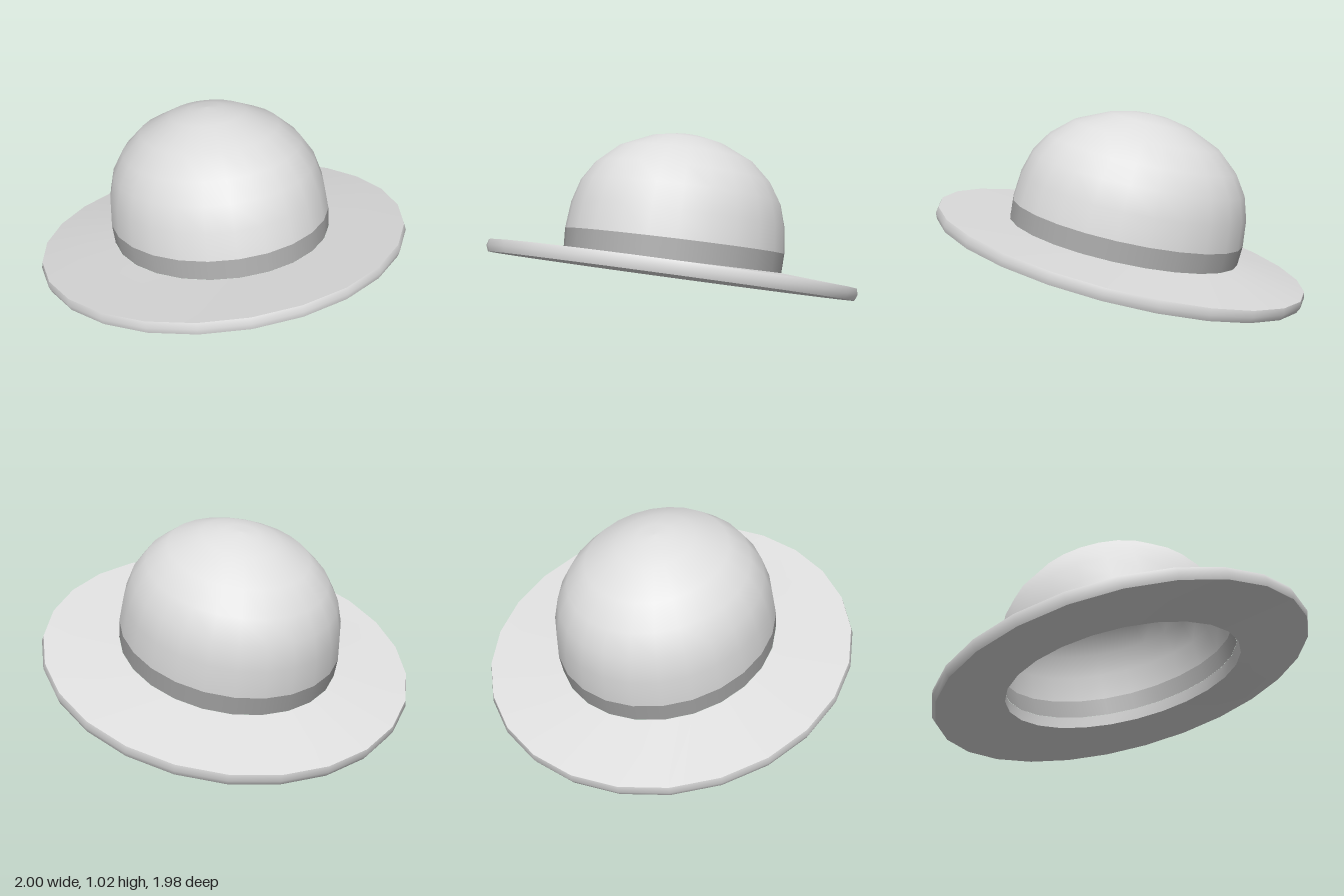
import * as THREE from 'three';
import { mergeGeometries } from 'three/addons/utils/BufferGeometryUtils.js';

const SIDES = 25;
const CROWN = { tilt: 0.217, y: 0.335, z: -0.01 };
const BRIM = { tilt: 0.246, y: 0.28, z: 0.003 };

const felt = new THREE.MeshStandardMaterial({ color: 0xdedede, side: THREE.DoubleSide });
felt.name = 'light grey felt';
const ribbon = new THREE.MeshStandardMaterial({ color: 0xaeaeae, side: THREE.DoubleSide });
ribbon.name = 'mid grey ribbon';

// Tilted elliptical ring, starting at the back; h is the height along the tilted axis
function ring(frame, rx, rz, h) {
  const axis = new THREE.Vector3(1, 0, 0);
  return Array.from({ length: SIDES }, (_, i) => {
    const a = (i / SIDES) * Math.PI * 2;
    return new THREE.Vector3(rx * Math.sin(a), h, -rz * Math.cos(a))
      .applyAxisAngle(axis, -frame.tilt)
      .add(new THREE.Vector3(0, frame.y, frame.z));
  });
}

// Smooth surface through a few rings, with hard edges at both ends
function strip(rings) {
  const index = [];
  for (let k = 0; k < rings.length - 1; k++) {
    for (let i = 0; i < SIDES; i++) {
      const j = (i + 1) % SIDES;
      const a = k * SIDES, b = a + SIDES;
      index.push(a + i, b + i, a + j, a + j, b + i, b + j);
    }
  }
  const g = new THREE.BufferGeometry().setFromPoints(rings.flat());
  g.setIndex(index);
  g.computeVertexNormals();
  return g;
}

// Oval shell in the crown's tilted frame
function shell(profile) {
  const g = new THREE.LatheGeometry(profile.map(p => new THREE.Vector2(...p)), SIDES, Math.PI);
  g.scale(0.914, 1, 1);
  g.rotateX(-CROWN.tilt);
  g.translate(0, CROWN.y, CROWN.z);
  return g;
}

export function createModel() {
  const hat = new THREE.Group();
  hat.name = 'hat';
  const add = (name, geometry, material) => {
    const mesh = new THREE.Mesh(geometry, material);
    mesh.name = name;
    hat.add(mesh);
  };

  // Domed crown
  add('crown', shell([[0.64, 0.105], [0.624, 0.25], [0.585, 0.375], [0.515, 0.48],
    [0.4, 0.58], [0.22, 0.66], [0.1, 0.686], [0, 0.692]]), felt);

  // Band around the foot of the crown
  add('hatBand', shell([[0.635, 0], [0.64, 0.105]]), ribbon);

  // Brim: outer edge tilts more than the opening, so the back slopes up to the crown
  const outerBottom = ring(BRIM, 0.987, 1.01, -0.032);
  const outerMiddle = ring(BRIM, 1.0, 1.023, 0);
  const outerTop = ring(BRIM, 0.992, 1.015, 0.032);
  const innerTop = ring(CROWN, 0.582, 0.636, 0);
  const innerBottom = ring(CROWN, 0.59, 0.642, -0.062);
  add('brim', mergeGeometries([
    strip([outerBottom, outerMiddle, outerTop]),
    strip([outerTop, innerTop]),
    strip([innerTop, innerBottom]),
    strip([innerBottom, outerBottom]),
  ]), felt);

  return hat;
}
